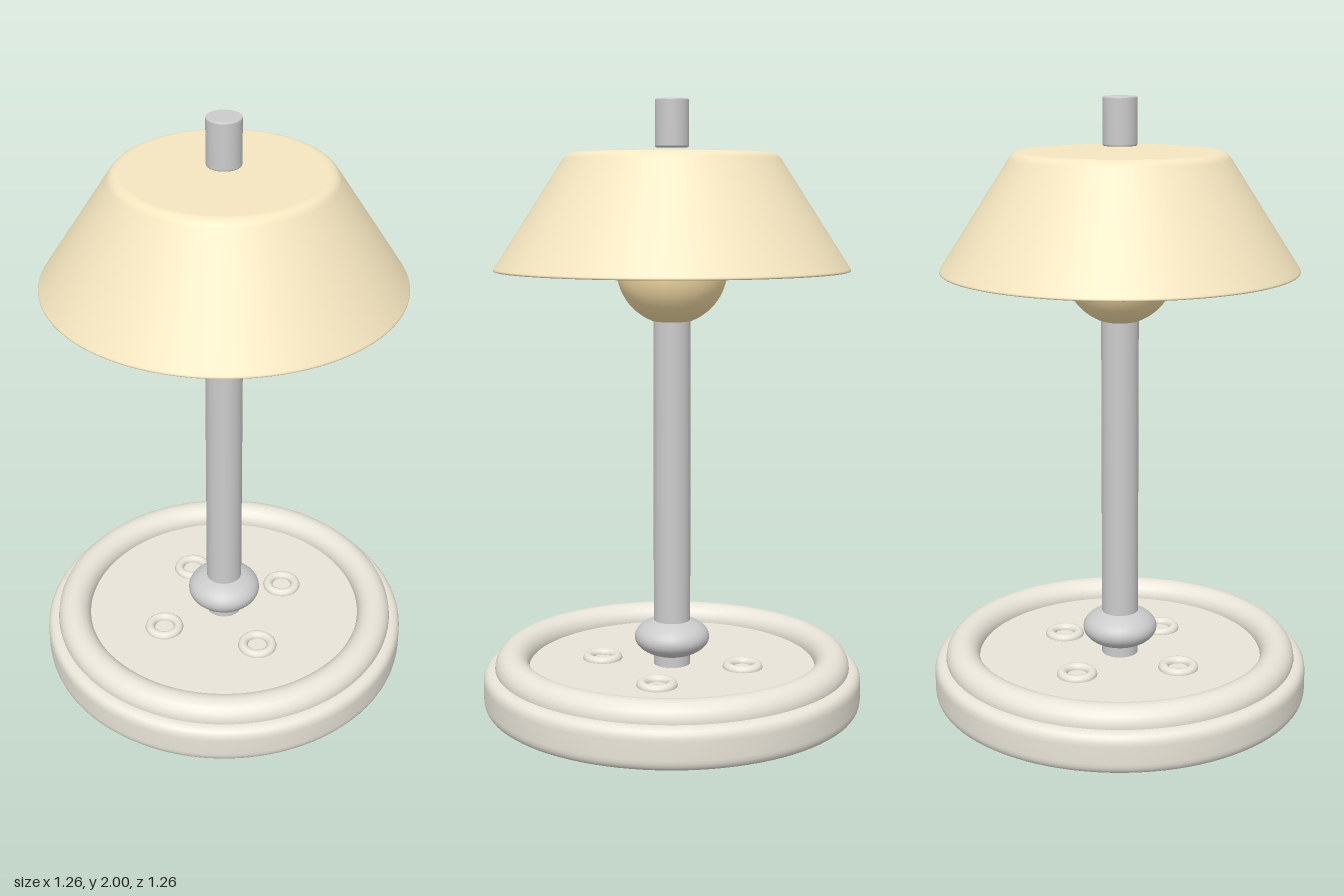
import * as THREE from 'three';

const enamel = new THREE.MeshStandardMaterial({ color: 0xe8e4d8 });
const metal = new THREE.MeshStandardMaterial({ color: 0xc0c0c0 });
const cream = new THREE.MeshStandardMaterial({ color: 0xf5e6c0 });
const glow = new THREE.MeshStandardMaterial({ color: 0xf8e0a8 });

// Closed solid of revolution from corners [radius, y, rounding], listed bottom to top
function turned(corners, segments = 64) {
  const path = new THREE.Path();
  path.moveTo(corners[0][0], corners[0][1]);
  const at = (i) => new THREE.Vector2(corners[i][0], corners[i][1]);
  for (let i = 1; i < corners.length - 1; i++) {
    const p = at(i), round = corners[i][2];
    const a = p.clone().add(at(i - 1).sub(p).setLength(round));
    const b = p.clone().add(at(i + 1).sub(p).setLength(round));
    path.lineTo(a.x, a.y);
    path.quadraticCurveTo(p.x, p.y, b.x, b.y);
  }
  const end = at(corners.length - 1);
  path.lineTo(end.x, end.y);
  return new THREE.LatheGeometry(path.getPoints(6), segments);
}

export function createModel() {
  const model = new THREE.Group();
  model.name = 'tableLamp';

  const add = (name, geometry, material, x = 0, y = 0, z = 0) => {
    const mesh = new THREE.Mesh(geometry, material);
    mesh.name = name;
    mesh.position.set(x, y, z);
    model.add(mesh);
    return mesh;
  };

  // Button-shaped base: disc, raised rim and four eyelets
  add('base', turned([[0, 0], [0.63, 0, 0.04], [0.63, 0.137, 0.04], [0, 0.137]], 96), enamel);
  const rim = new THREE.TorusGeometry(0.535, 0.057, 20, 96).rotateX(Math.PI / 2);
  add('baseRim', rim, enamel, 0, 0.14);
  const eyelet = new THREE.TorusGeometry(0.05, 0.017, 12, 32).rotateX(Math.PI / 2);
  for (const x of [-0.17, 0.17]) {
    for (const z of [-0.17, 0.17]) add('baseEyelet', eyelet, enamel, x, 0.139, z);
  }

  // Stem with its collar
  add('stem', new THREE.CylinderGeometry(0.061, 0.061, 1.3, 40), metal, 0, 0.78);
  const collar = add('stemCollar', new THREE.SphereGeometry(0.125, 40, 24), metal, 0, 0.23);
  collar.scale.y = 0.53;

  // Bulb half hidden in the closed shade
  add('bulb', new THREE.SphereGeometry(0.18, 48, 32), glow, 0, 1.459);
  add('shade', turned([[0, 1.453], [0.581, 1.453, 0.012], [0.337, 1.83, 0.025], [0, 1.83]], 96), cream);

  // Finial floating just above the shade
  add('finial', turned([[0, 1.847], [0.055, 1.847, 0.006], [0.055, 2, 0.006], [0, 2]], 40), metal);

  return model;
}
